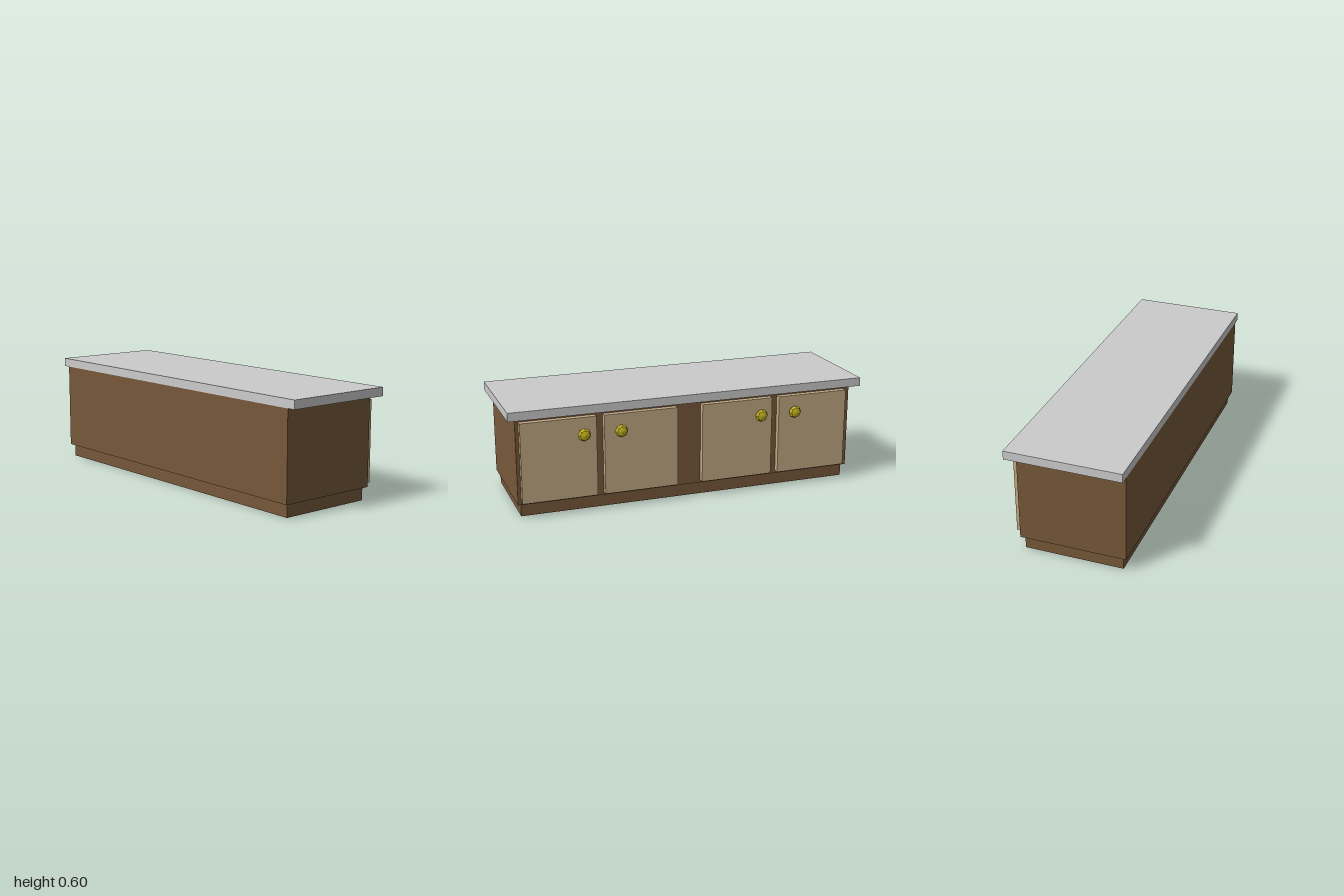
import * as THREE from 'three';

const material = (name, color, extra = {}) => {
  const m = new THREE.MeshStandardMaterial({ color, ...extra });
  m.name = name;
  return m;
};

export function createModel() {
  const group = new THREE.Group();
  const wood = material('dark wood', 0x765839);
  const panel = material('light wood', 0xc4aa84);
  const stone = material('grey stone', 0xcbcbcb);
  const brass = material('brass', 0xc9b522, { flatShading: true });

  // Box given by its extents on each axis
  const box = (name, mat, [x0, x1], [y0, y1], [z0, z1]) => {
    const mesh = new THREE.Mesh(new THREE.BoxGeometry(x1 - x0, y1 - y0, z1 - z0), mat);
    mesh.position.set((x0 + x1) / 2, (y0 + y1) / 2, (z0 + z1) / 2);
    mesh.name = name;
    group.add(mesh);
  };

  // Carcass, recessed plinth and overhanging worktop
  box('plinth', wood, [-0.31, 0.227], [0, 0.071], [-0.937, 0.937]);
  box('cabinetBody', wood, [-0.33, 0.247], [0.071, 0.548], [-0.955, 0.955]);
  box('countertop', stone, [-0.33, 0.295], [0.548, 0.595], [-1, 1]);

  // Two pairs of doors on the +x side
  [0.733, 0.283, -0.267, -0.717].forEach((z, i) =>
    box(`door${i + 1}`, panel, [0.247, 0.28], [0.087, 0.527], [z - 0.204, z + 0.204]));

  // Octagonal knobs: stem, flared head and faceted cap, turned to point along +x
  const profile = [[0.02, 0], [0.02, 0.02], [0.036, 0.027], [0.027, 0.042], [0, 0.048]]
    .map(([r, h]) => new THREE.Vector2(r, h));
  const knobGeometry = new THREE.LatheGeometry(profile, 8).rotateZ(-Math.PI / 2);
  [0.603, 0.402, -0.398, -0.598].forEach((z, i) => {
    const knob = new THREE.Mesh(knobGeometry, brass);
    knob.position.set(0.28, 0.44, z);
    knob.name = `knob${i + 1}`;
    group.add(knob);
  });

  return group;
}
